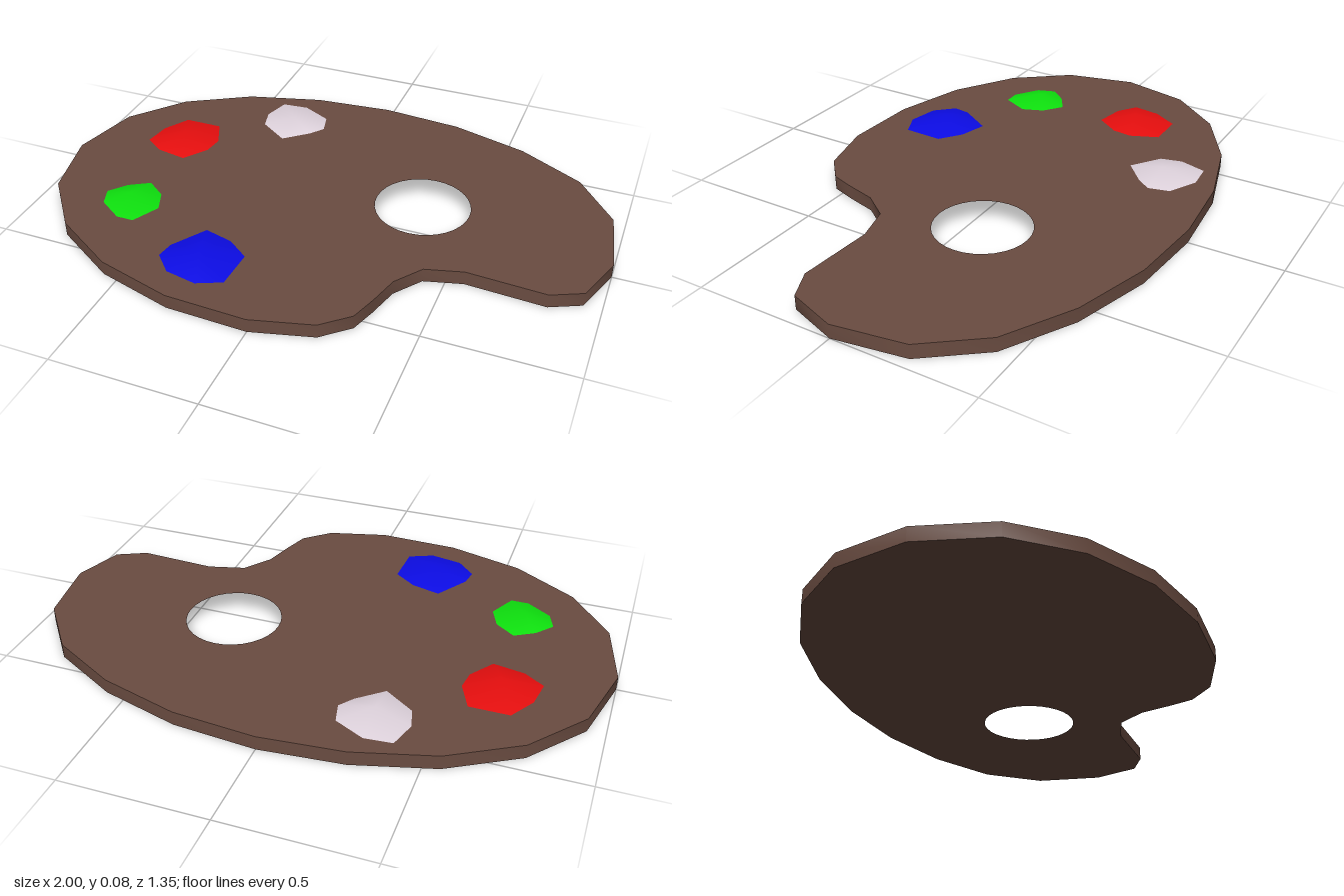
import * as THREE from 'three';
import { toCreasedNormals } from 'three/addons/utils/BufferGeometryUtils.js';

const TOP = 0.05; // board thickness

function material(name, color) {
  const m = new THREE.MeshStandardMaterial({ color });
  m.name = name;
  return m;
}

// Board outline as [x, z]
const OUTLINE = [
  [0, -0.675], [0.29, -0.65], [0.57, -0.57], [0.81, -0.44], [0.96, -0.25], [1, 0],
  [0.94, 0.175], [0.835, 0.225], [0.56, 0.21], [0.43, 0.245], [0.36, 0.34], [0.33, 0.45],
  [0.3, 0.54], [0.21, 0.62], [0, 0.675], [-0.285, 0.665], [-0.555, 0.59], [-0.785, 0.45],
  [-0.94, 0.255], [-1, 0], [-0.94, -0.25], [-0.785, -0.44], [-0.555, -0.575], [-0.285, -0.65],
];

// Flat board with a thumb hole
function makeBoard() {
  const shape = new THREE.Shape(OUTLINE.map(([x, z]) => new THREE.Vector2(x, -z)));
  const hole = new THREE.Path();
  hole.absarc(0.325, 0.09, 0.168, 0, Math.PI * 2, true);
  shape.holes.push(hole);
  const geo = new THREE.ExtrudeGeometry(shape, { depth: TOP, bevelEnabled: false, curveSegments: 16 });
  geo.rotateX(-Math.PI / 2);
  const mesh = new THREE.Mesh(toCreasedNormals(geo, 1), material('brown wood', 0x6a4c41));
  mesh.name = 'board';
  return mesh;
}

// Low irregular mound of paint: a fan from the rim to one peak
function makePaint(name, color, [px, py, pz], rim) {
  const positions = [px, py, pz];
  const index = [];
  rim.forEach(([x, z], i) => {
    positions.push(x, TOP, z);
    index.push(0, 1 + ((i + 1) % rim.length), 1 + i);
  });
  const geo = new THREE.BufferGeometry();
  geo.setAttribute('position', new THREE.Float32BufferAttribute(positions, 3));
  geo.setIndex(index);
  geo.computeVertexNormals();
  const mesh = new THREE.Mesh(geo, material(name, color));
  mesh.name = name + ' blob';
  return mesh;
}

export function createModel() {
  const group = new THREE.Group();
  group.name = 'paintPalette';
  group.add(
    makeBoard(),
    makePaint('white paint', 0xe0d4de, [-0.31, 0.078, -0.445], [
      [-0.405, -0.565], [-0.31, -0.573], [-0.205, -0.52], [-0.187, -0.445],
      [-0.225, -0.395], [-0.31, -0.322], [-0.415, -0.395], [-0.433, -0.47]]),
    makePaint('red paint', 0xe80e0e, [-0.655, 0.08, -0.18], [
      [-0.71, -0.315], [-0.573, -0.315], [-0.53, -0.215], [-0.54, -0.145],
      [-0.6, -0.06], [-0.71, -0.08], [-0.78, -0.128], [-0.765, -0.225]]),
    makePaint('green paint', 0x0ee20e, [-0.65, 0.075, 0.24], [
      [-0.63, 0.128], [-0.56, 0.18], [-0.53, 0.257], [-0.578, 0.353],
      [-0.64, 0.353], [-0.727, 0.295], [-0.75, 0.23], [-0.7, 0.17]]),
    makePaint('blue paint', 0x0c0ce6, [-0.27, 0.08, 0.45], [
      [-0.315, 0.31], [-0.213, 0.337], [-0.134, 0.395], [-0.14, 0.54],
      [-0.225, 0.578], [-0.337, 0.556], [-0.4, 0.49], [-0.39, 0.428]]),
  );
  return group;
}
